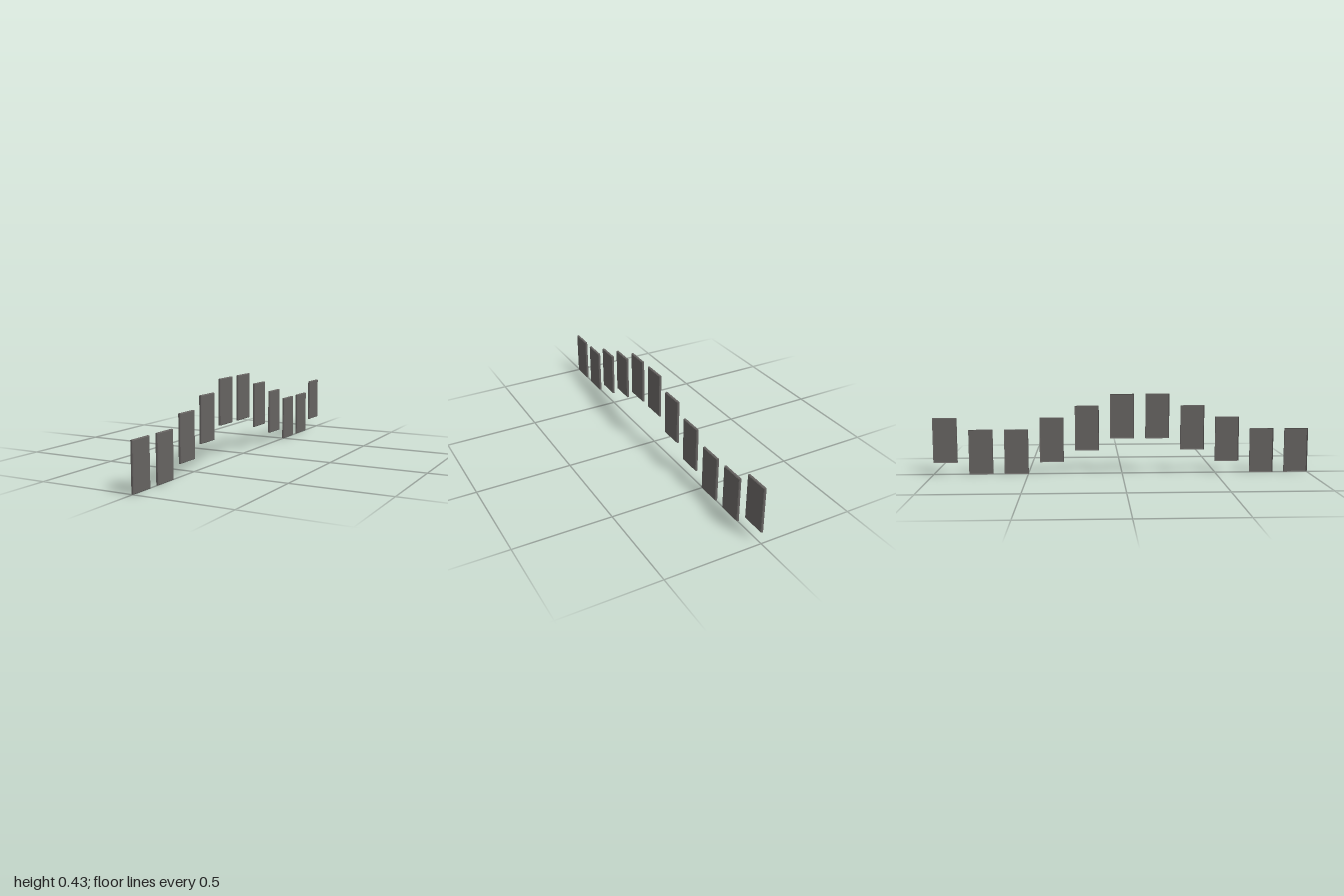
import * as THREE from 'three';

const COUNT = 11;
const DEPTH = 0.012, HEIGHT = 0.238, WIDTH = 0.127;
const BEVEL = 0.003;
const STEP = 0.0625;

// Shallow tray: bevelled face towards +x, open towards -x
function panelGeometry() {
  const box = new THREE.BoxGeometry(DEPTH, HEIGHT, WIDTH, 2, 1, 1);
  const back = box.groups[1];
  const index = Array.from(box.index.array);
  index.splice(back.start, back.count);
  box.setIndex(index);
  box.clearGroups();

  const p = box.attributes.position;
  for (let i = 0; i < p.count; i++) {
    const x = p.getX(i);
    if (x > DEPTH / 4) {
      // inset the rim of the outer face
      p.setY(i, p.getY(i) - Math.sign(p.getY(i)) * BEVEL);
      p.setZ(i, p.getZ(i) - Math.sign(p.getZ(i)) * BEVEL);
    } else if (x > -DEPTH / 4) {
      p.setX(i, DEPTH / 2 - BEVEL);
    }
  }
  const flat = box.toNonIndexed();
  flat.computeVertexNormals();
  return flat;
}

export function createModel() {
  const group = new THREE.Group();
  group.name = 'steppedPanels';

  const darkGrey = new THREE.MeshStandardMaterial({ color: 0x666361, side: THREE.DoubleSide });
  darkGrey.name = 'darkGrey';

  const geometry = panelGeometry();
  // Height of each panel in steps, from front to back
  const levels = [0, 0, 1, 2, 3, 3, 2, 1, 0, 0, 1];
  const pitch = (2 - WIDTH) / (COUNT - 1);

  levels.forEach((level, i) => {
    const panel = new THREE.Mesh(geometry, darkGrey);
    panel.name = `panel${i + 1}`;
    panel.position.set(0, HEIGHT / 2 + level * STEP, 1 - WIDTH / 2 - i * pitch);
    group.add(panel);
  });

  return group;
}
